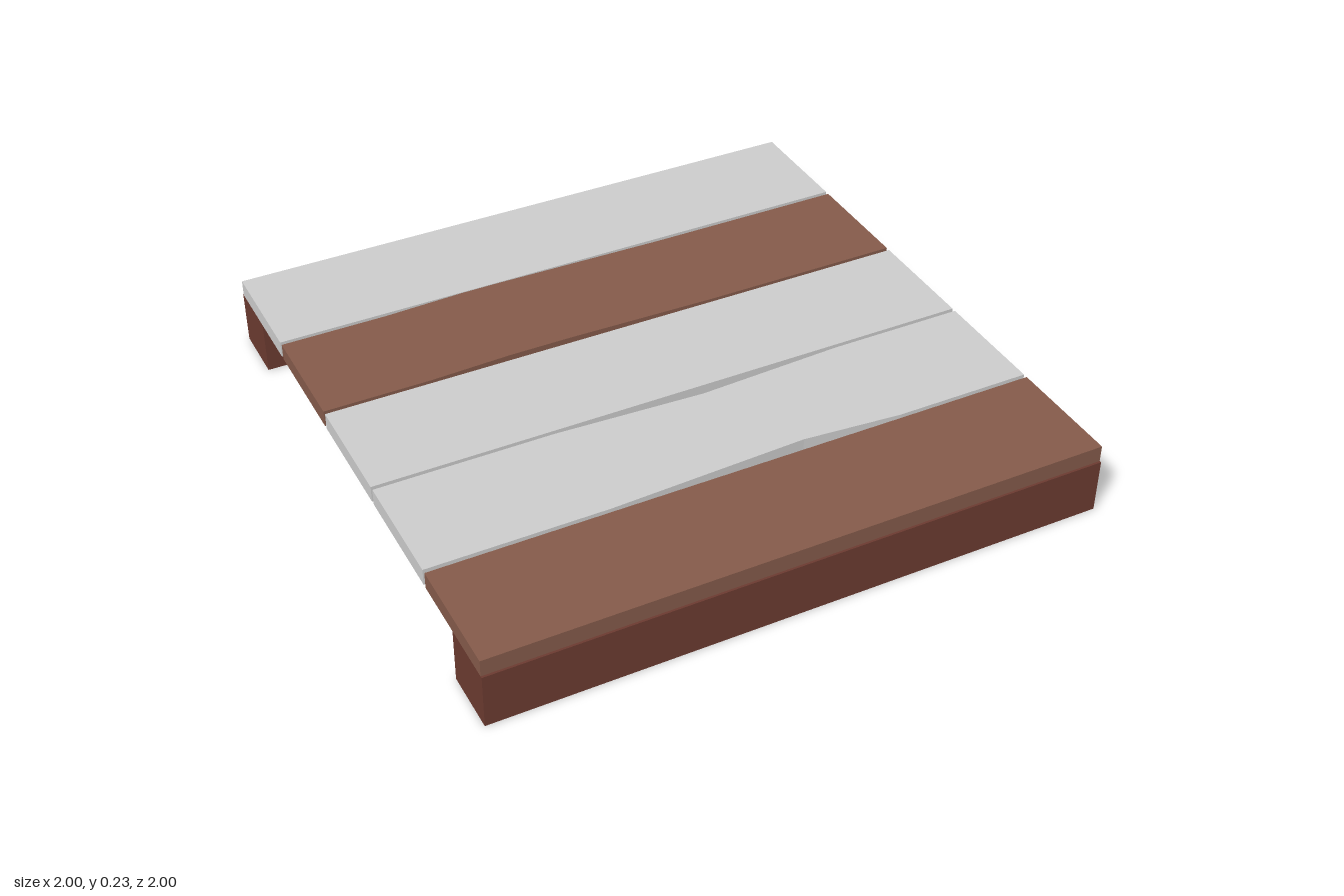
import * as THREE from 'three';

const grey = new THREE.MeshStandardMaterial({ color: 0xcccccc });
const brown = new THREE.MeshStandardMaterial({ color: 0x845a4a });
const darkBrown = new THREE.MeshStandardMaterial({ color: 0x6b3a30 });

const BEAM_TOP = 0.18, PLANK_TOP = 0.235, HALF = 0.193;

function box(name, material, [x0, x1], [y0, y1], [z0, z1]) {
  const mesh = new THREE.Mesh(new THREE.BoxGeometry(x1 - x0, y1 - y0, z1 - z0), material);
  mesh.position.set((x0 + x1) / 2, (y0 + y1) / 2, (z0 + z1) / 2);
  mesh.name = name;
  return mesh;
}

// Plank outline extruded upwards; back and front list [x, z offset] bends along the long edges
function plank(name, material, z, back = [], front = []) {
  const outline = [
    [-1, HALF], ...front.map(([x, dz]) => [x, HALF - dz]), [1, HALF],
    [1, -HALF], ...back.map(([x, dz]) => [x, -HALF - dz]).reverse(), [-1, -HALF],
  ];
  // Shape y becomes -z after the turn, so front points are mirrored
  const points = outline.map(([x, s], i) => {
    const isFront = i < front.length + 2;
    const dz = isFront ? HALF - s : -HALF - s;
    return new THREE.Vector2(x, -((isFront ? HALF : -HALF) + dz));
  });
  const geometry = new THREE.ExtrudeGeometry(new THREE.Shape(points), {
    depth: PLANK_TOP - BEAM_TOP, bevelEnabled: false,
  });
  geometry.rotateX(-Math.PI / 2);
  const mesh = new THREE.Mesh(geometry, material);
  mesh.position.set(0, BEAM_TOP, z);
  mesh.name = name;
  return mesh;
}

export function createModel() {
  const group = new THREE.Group();
  group.name = 'woodenPlatform';

  // Ground beams under the front and back edges
  group.add(box('frontBeam', darkBrown, [-1, 1], [0, BEAM_TOP], [0.8, 1]));
  group.add(box('backBeam', darkBrown, [-1, 1], [0, BEAM_TOP], [-1, -0.8]));

  // Side rails joining the beams
  group.add(box('leftRail', darkBrown, [0.85, 0.95], [0.06, BEAM_TOP], [-0.8, 0.8]));
  group.add(box('rightRail', darkBrown, [-0.95, -0.85], [0.06, BEAM_TOP], [-0.8, 0.8]));

  // Deck planks, front to back; two have worn or warped edges
  group.add(plank('frontPlank', brown, 0.8));
  group.add(plank('wornPlank', grey, 0.4,
    [[-0.42, 0], [0.07, 0.024], [0.55, 0]],
    [[-0.42, 0], [0.23, -0.028], [0.55, 0]]));
  group.add(plank('middlePlank', grey, 0));
  group.add(plank('warpedPlank', brown, -0.4,
    [[-0.65, 0], [-0.38, -0.011], [-0.25, -0.011], [0.33, 0]],
    [[-0.65, 0], [-0.38, -0.011], [-0.17, -0.011], [0.33, 0]]));
  group.add(plank('backPlank', grey, -0.8));
  return group;
}
